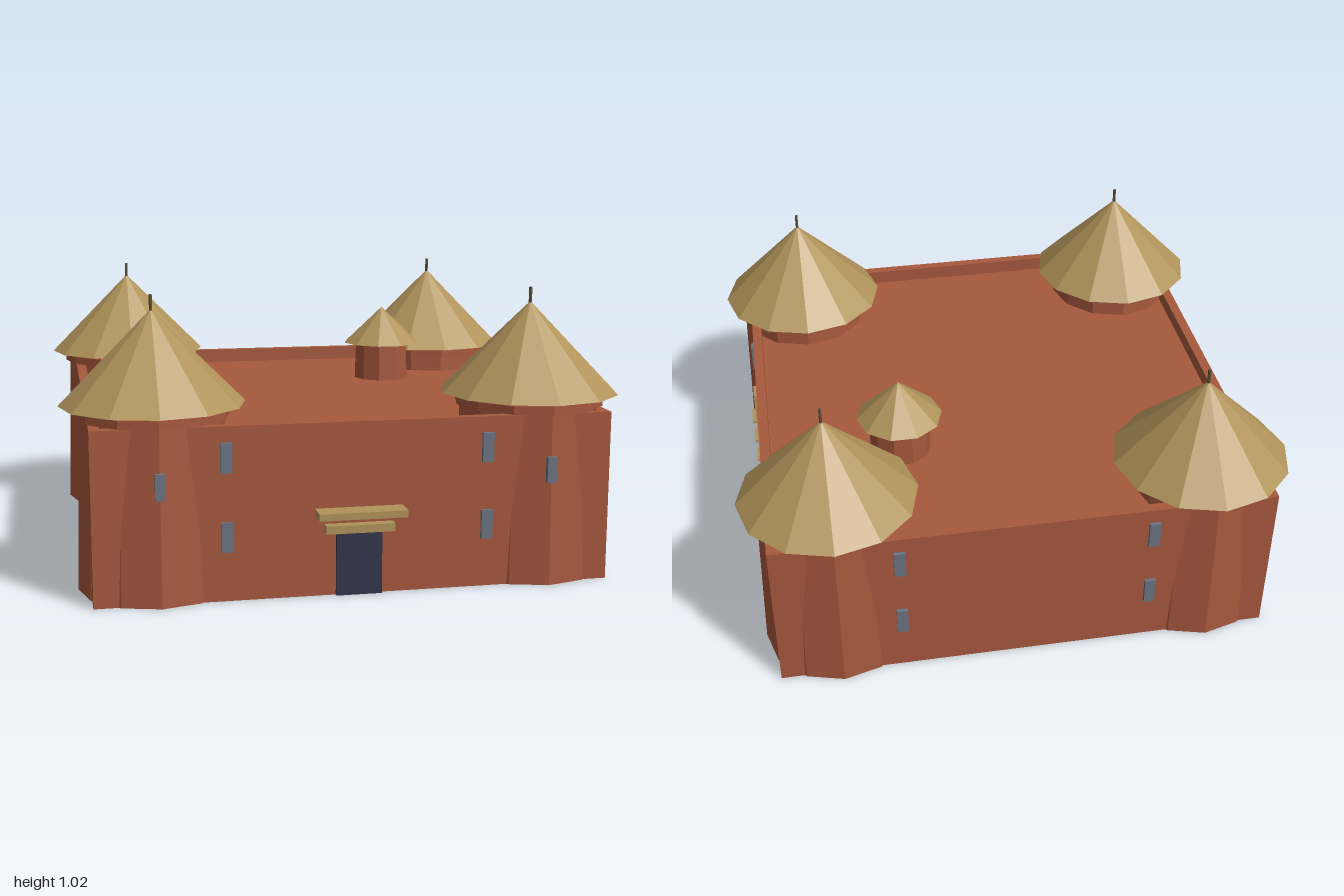
import * as THREE from 'three';

const material = (name, color) => {
  const m = new THREE.MeshStandardMaterial({ color });
  m.name = name;
  return m;
};

export function createModel() {
  const clay = material('red clay', 0xa6583c);
  const thatch = material('straw thatch', 0xb0935a);
  const pane = material('grey window', 0x6b7482);
  const doorBlue = material('dark door', 0x34344c);
  const pole = material('dark pole', 0x5f5038);

  const model = new THREE.Group();
  model.name = 'fort';

  // Adds a faceted mesh
  const add = (parent, name, geometry, mat, x, y, z) => {
    const flat = geometry.index ? geometry.toNonIndexed() : geometry;
    flat.computeVertexNormals();
    const mesh = new THREE.Mesh(flat, mat);
    mesh.name = name;
    mesh.position.set(x, y, z);
    parent.add(mesh);
    return mesh;
  };
  const box = (parent, name, mat, w, h, d, x, y, z) =>
    add(parent, name, new THREE.BoxGeometry(w, h, d), mat, x, y, z);

  // Main block, flat roof and parapet
  const W = 0.905, ROOF = 0.55, TOP = 0.605, INNER = 0.868;
  box(model, 'walls', clay, 2 * W, ROOF, 2 * W, 0, ROOF / 2, 0);
  const square = (Type, s) => new Type([
    new THREE.Vector2(-s, -s), new THREE.Vector2(s, -s),
    new THREE.Vector2(s, s), new THREE.Vector2(-s, s),
  ]);
  const rim = square(THREE.Shape, W);
  rim.holes.push(square(THREE.Path, INNER));
  const rimGeometry = new THREE.ExtrudeGeometry(rim, { depth: TOP - ROOF, bevelEnabled: false });
  rimGeometry.rotateX(-Math.PI / 2);
  add(model, 'parapet', rimGeometry, clay, 0, ROOF, 0);

  // Corner towers with thatched cones
  const C = 0.678;
  for (const sx of [-1, 1]) {
    for (const sz of [-1, 1]) {
      const tower = new THREE.Group();
      tower.name = 'cornerTower';
      tower.position.set(sx * C, 0, sz * C);
      add(tower, 'towerBody', new THREE.CylinderGeometry(0.25, 0.27, 0.65, 12), clay, 0, 0.325, 0);
      add(tower, 'towerCollar', new THREE.CylinderGeometry(0.268, 0.268, 0.03, 12), clay, 0, 0.623, 0);
      add(tower, 'towerRoof', new THREE.ConeGeometry(0.322, 0.325, 12), thatch, 0, 0.8125, 0);
      add(tower, 'roofPole', new THREE.CylinderGeometry(0.006, 0.006, 0.09, 6), pole, 0, 0.98, 0);
      if (sz > 0) box(tower, 'towerWindow', pane, 0.035, 0.09, 0.03, 0, 0.415, 0.255);
      model.add(tower);
    }
  }

  // Small roof turret
  const turret = new THREE.Group();
  turret.name = 'roofTurret';
  turret.position.set(0.38, 0, -0.325);
  turret.rotation.y = Math.PI / 2;
  add(turret, 'turretBody', new THREE.CylinderGeometry(0.11, 0.115, 0.16, 10), clay, 0, 0.625, 0);
  add(turret, 'turretRoof', new THREE.ConeGeometry(0.16, 0.15, 10), thatch, 0, 0.775, 0);
  model.add(turret);

  // Slit windows on the front, back and right-hand wall
  for (const angle of [0, Math.PI / 2, Math.PI]) {
    const side = new THREE.Group();
    side.name = 'wallWindows';
    side.rotation.y = angle;
    for (const x of [-0.455, 0.455]) {
      for (const y of [0.225, 0.498]) {
        box(side, 'window', pane, 0.04, 0.103, 0.02, x, y, W + 0.003);
      }
    }
    model.add(side);
  }

  // Doorway with lintel and canopy
  box(model, 'door', doorBlue, 0.16, 0.225, 0.02, 0, 0.1125, W + 0.004);
  box(model, 'lintel', thatch, 0.24, 0.028, 0.04, 0, 0.239, W + 0.017);
  box(model, 'canopy', thatch, 0.306, 0.024, 0.085, 0, 0.296, W + 0.038);

  // Ladder against the side wall
  const ladder = new THREE.Group();
  ladder.name = 'ladder';
  ladder.position.set(W, 0, 0.205);
  box(ladder, 'ladderBoard', thatch, 0.018, 0.495, 0.07, 0.007, 0.2475, 0);
  for (const y of [0.07, 0.17, 0.27, 0.37]) {
    box(ladder, 'rung', thatch, 0.034, 0.012, 0.084, 0.015, y, 0);
  }
  model.add(ladder);

  return model;
}
